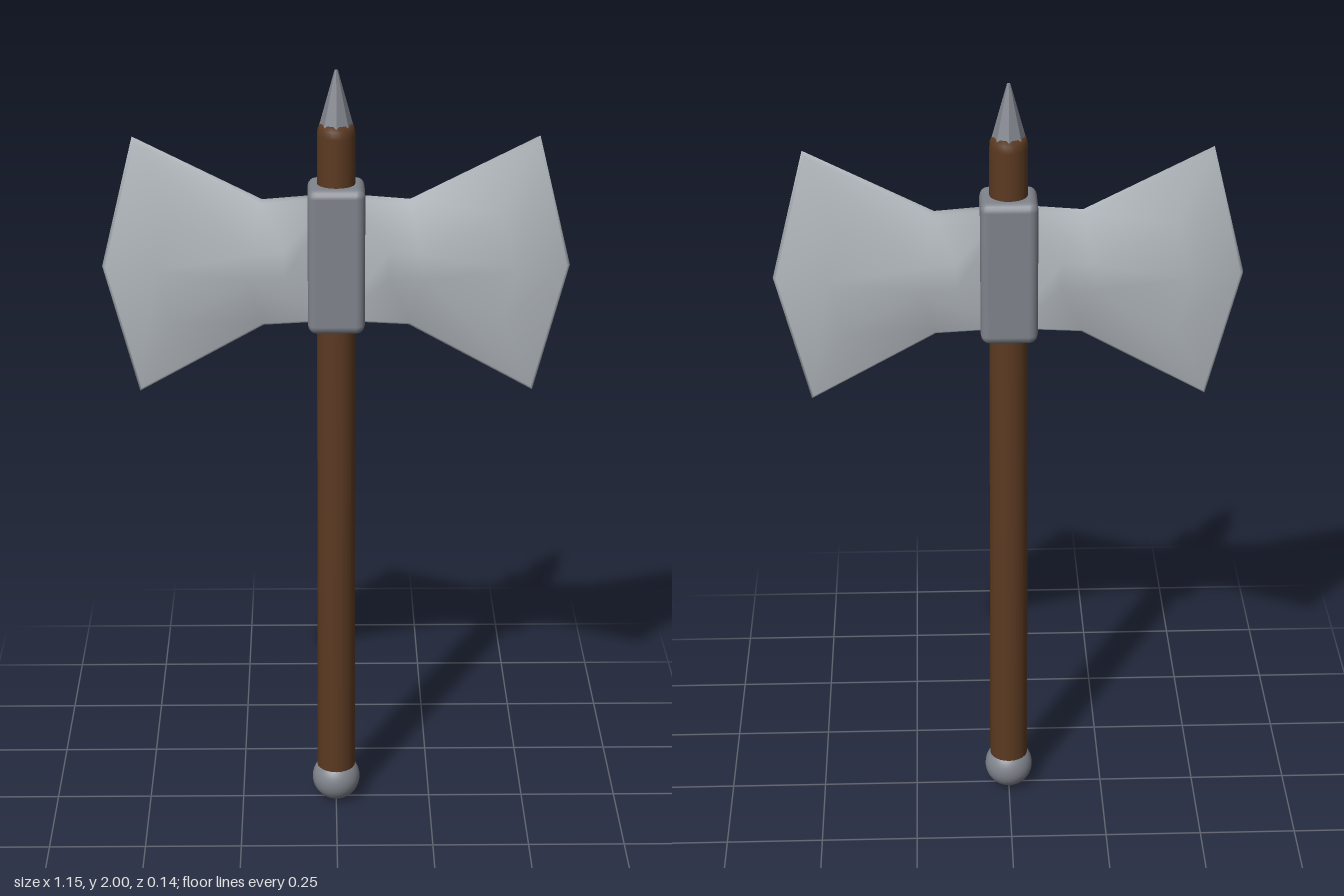
import * as THREE from 'three';
import { RoundedBoxGeometry } from 'three/addons/geometries/RoundedBoxGeometry.js';

const material = (name, color, extra = {}) => {
  const m = new THREE.MeshStandardMaterial({ color, ...extra });
  m.name = name;
  return m;
};

// Move every corner of a clockwise outline inward by d, keeping edges parallel
function inset(points, d) {
  const n = points.length;
  const normal = (a, b) => {
    const e = b.clone().sub(a).normalize();
    return new THREE.Vector2(e.y, -e.x);
  };
  return points.map((p, i) => {
    const n1 = normal(points[(i + n - 1) % n], p);
    const n2 = normal(p, points[(i + 1) % n]);
    return n1.clone().add(n2).multiplyScalar(d / (1 + n1.dot(n2))).add(p);
  });
}

// Smooth blade: rings of the outline, wide at the rim and inset at both faces
function bladeGeometry() {
  const outline = [
    [0, 1.365], [0, 1.695], [0.18, 1.68], [0.492, 1.838],
    [0.575, 1.51], [0.492, 1.18], [0.18, 1.355],
  ].map(([x, y]) => new THREE.Vector2(x, y));
  const n = outline.length;
  const levels = [[0.039, 0.128], [0.011, 0.008], [0, 0], [-0.011, 0.008], [-0.039, 0.128]];
  const positions = [], index = [];
  for (const [z, d] of levels)
    for (const p of inset(outline, d)) positions.push(p.x, p.y, z);

  for (let r = 0; r < levels.length - 1; r++)
    for (let i = 0; i < n; i++) {
      const j = (i + 1) % n;
      const a = r * n + i, b = r * n + j, c = a + n, e = b + n;
      index.push(a, b, c, b, e, c);
    }

  // Flat faces, wound to look outward
  const face = inset(outline, levels[0][1]);
  const back = (levels.length - 1) * n;
  for (const [a, b, c] of THREE.ShapeUtils.triangulateShape(face, [])) {
    const ccw = face[b].clone().sub(face[a]).cross(face[c].clone().sub(face[a])) > 0;
    const [p, q] = ccw ? [b, c] : [c, b];
    index.push(a, p, q, back + a, back + q, back + p);
  }
  const g = new THREE.BufferGeometry();
  g.setAttribute('position', new THREE.Float32BufferAttribute(positions, 3));
  g.setIndex(index);
  g.computeVertexNormals();
  return g;
}

export function createModel() {
  const wood = material('brown wood', 0x5c3a22);
  const blade = material('pale steel', 0xb4bac0);
  const iron = material('dark iron', 0x80848c);
  const facetedIron = iron;
  const model = new THREE.Group();
  model.name = 'doubleAxe';
  const add = (name, geometry, mat, x = 0, y = 0, z = 0) => {
    const mesh = new THREE.Mesh(geometry, mat);
    mesh.name = name;
    mesh.position.set(x, y, z);
    model.add(mesh);
    return mesh;
  };

  // Tapered handle with a rounded top
  const profile = [[0, 0.08], [0.05, 0.08], [0.0465, 1.84], [0.045, 1.858], [0.038, 1.87], [0, 1.87]];
  add('handle', new THREE.LatheGeometry(profile.map(([x, y]) => new THREE.Vector2(x, y)), 24), wood);

  // Pommel and top spike
  add('pommel', new THREE.SphereGeometry(0.063, 32, 20), iron, 0, 0.063);
  const spike = new THREE.CylinderGeometry(0.004, 0.042, 0.138, 8).toNonIndexed();
  spike.computeVertexNormals();
  add('spike', spike, facetedIron, 0, 1.931);

  // Collar holding the blades
  add('collar', new RoundedBoxGeometry(0.14, 0.37, 0.14, 2, 0.022), iron, 0, 1.535);

  // Mirrored pair of blades
  const g = bladeGeometry();
  add('leftBlade', g, blade);
  add('rightBlade', g, blade).rotation.y = Math.PI;
  return model;
}
